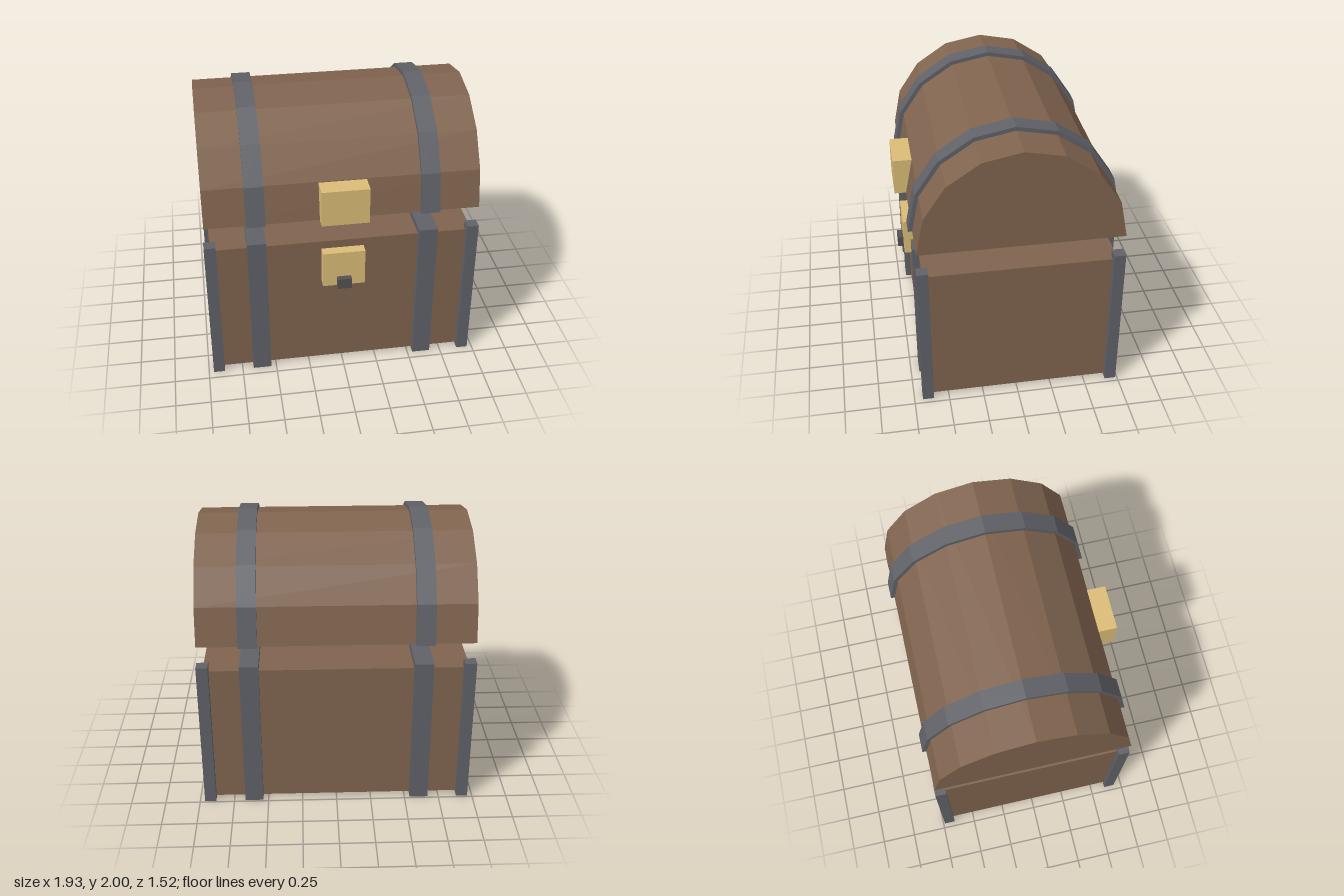
import * as THREE from 'three';

const material = (color) => new THREE.MeshStandardMaterial({ color, flatShading: true });

export function createModel() {
  const chest = new THREE.Group();
  chest.name = 'treasureChest';
  const wood = material(0x80644f);
  const iron = material(0x606268);
  const gold = material(0xdcbd78);
  const darkIron = material(0x555150);
  const midZ = -0.024; // depth centre of body and lid
  const lidY = 1.265; // underside of the raised lid

  const add = (parent, name, geometry, mat) => {
    const mesh = new THREE.Mesh(geometry, mat);
    mesh.name = name;
    parent.add(mesh);
    return mesh;
  };

  // Box given by its extents on each axis
  const box = (parent, name, mat, [x0, x1], [y0, y1], [z0, z1]) =>
    add(parent, name, new THREE.BoxGeometry(x1 - x0, y1 - y0, z1 - z0), mat)
      .position.set((x0 + x1) / 2, (y0 + y1) / 2, (z0 + z1) / 2);

  // Solid eight-sided half barrel lying along x
  const halfBarrel = (parent, name, mat, radius, x, width) => {
    const shape = new THREE.Shape();
    for (let i = 0; i <= 8; i++) {
      const a = (i / 8) * Math.PI;
      const p = [radius * Math.cos(a), radius * Math.sin(a)];
      if (i === 0) shape.moveTo(...p);
      else shape.lineTo(...p);
    }
    shape.closePath();
    const geometry = new THREE.ExtrudeGeometry(shape, { depth: width, bevelEnabled: false });
    geometry.translate(0, 0, -width / 2).rotateY(Math.PI / 2);
    add(parent, name, geometry, mat).position.set(x, lidY, midZ);
  };

  const base = new THREE.Group();
  base.name = 'base';
  const lid = new THREE.Group();
  lid.name = 'lid';
  chest.add(base, lid);

  // Wooden body and lid
  box(base, 'body', wood, [-0.925, 0.925], [0.02, 1.06], [midZ - 0.67, midZ + 0.67]);
  halfBarrel(lid, 'lidBarrel', wood, 0.707, 0, 1.91);

  for (const s of [-1, 1]) {
    const side = s > 0 ? 'left' : 'right';
    // Iron straps around base and lid
    const x = s * 0.604;
    box(base, side + 'BaseStrap', iron, [x - 0.066, x + 0.066], [0, 1.11], [midZ - 0.713, midZ + 0.713]);
    halfBarrel(lid, side + 'LidStrap', iron, 0.736, x, 0.132);

    // Corner posts
    for (const f of [-1, 1]) {
      const post = new THREE.BoxGeometry(0.082, 1.11, 0.08);
      add(base, side + (f > 0 ? 'Front' : 'Back') + 'Post', post, iron)
        .position.set(s * 0.924, 0.555, midZ + f * 0.674);
    }
  }

  // Lock plates and clasp
  box(lid, 'lidLockPlate', gold, [-0.165, 0.165], [lidY, 1.53], [0.6, 0.765]);
  box(base, 'baseLockPlate', gold, [-0.15, 0.15], [0.725, 1.0], [0.6, 0.718]);
  box(base, 'clasp', darkIron, [-0.05, 0.05], [0.72, 0.8], [0.6, 0.76]);

  return chest;
}
